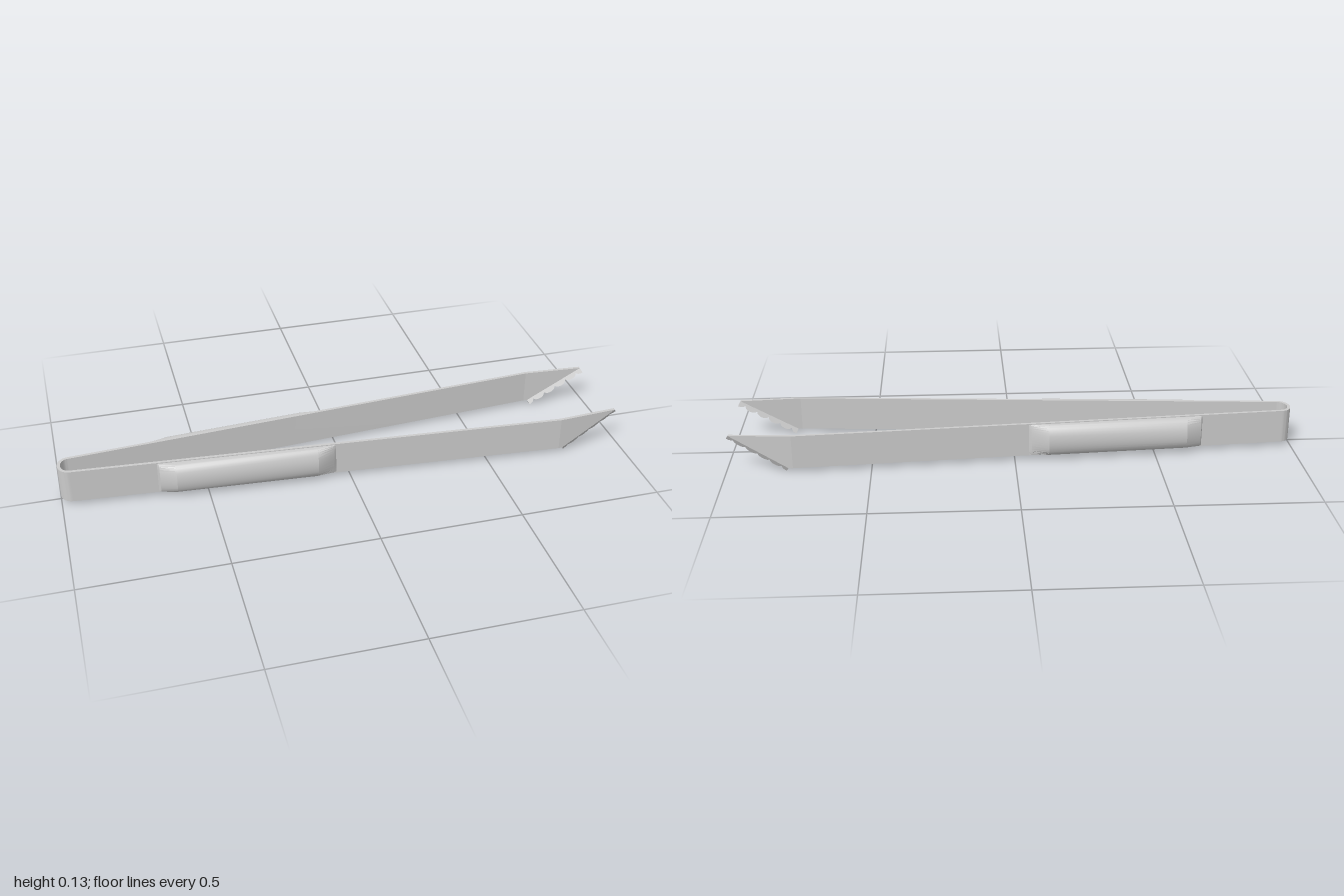
import * as THREE from 'three';
import { toCreasedNormals } from 'three/addons/utils/BufferGeometryUtils.js';

const T = 0.011;                 // sheet thickness
const BOTTOM = 0.013, TOP = 0.133;
const BEND_X = -0.96, KINK_X = 0.77, TIP_X = 0.985;

// outer face of the arm at a given x
function outerZ(x) {
  return x < KINK_X
    ? THREE.MathUtils.mapLinear(x, BEND_X, KINK_X, 0.047, 0.176)
    : THREE.MathUtils.mapLinear(x, KINK_X, 1, 0.176, 0.159);
}

const material = new THREE.MeshStandardMaterial({ color: 0xcccccc });

// mirror across z = 0 and restore the winding
function mirrored(geometry) {
  const g = geometry.clone().scale(1, 1, -1);
  const p = g.attributes.position;
  const a = new THREE.Vector3(), b = new THREE.Vector3();
  for (let i = 0; i < p.count; i += 3) {
    a.fromBufferAttribute(p, i + 1);
    b.fromBufferAttribute(p, i + 2);
    p.setXYZ(i + 1, b.x, b.y, b.z);
    p.setXYZ(i + 2, a.x, a.y, a.z);
  }
  return g;
}

function finish(name, geometry, crease = 0.6) {
  const mesh = new THREE.Mesh(toCreasedNormals(geometry, crease), material);
  mesh.name = name;
  return mesh;
}

// springy strip: both arms and the round bend, extruded upward
function stripGeometry() {
  const side = inset => {
    const pts = [[KINK_X, outerZ(KINK_X) - inset]];
    for (let i = 0; i <= 20; i++) {
      const a = Math.PI / 2 + Math.PI * i / 20;
      pts.push([BEND_X + (0.04 - inset) * Math.cos(a), (0.047 - inset) * Math.sin(a)]);
    }
    pts.push([KINK_X, inset - outerZ(KINK_X)]);
    return pts.map(([x, z]) => new THREE.Vector2(x, z));
  };
  const shape = new THREE.Shape([...side(0), ...side(T).reverse()]);
  return new THREE.ExtrudeGeometry(shape, { depth: TOP - BOTTOM, bevelEnabled: false })
    .rotateX(-Math.PI / 2).translate(0, BOTTOM, 0);
}

// sloping lower edge of the tip, and the direction pointing out of it
const edgeStart = new THREE.Vector2(0.785, BOTTOM);
const edgeEnd = new THREE.Vector2(TIP_X, TOP);
const along = edgeEnd.clone().sub(edgeStart);
const outward = new THREE.Vector2(along.y, -along.x).normalize();

// extrude an x-y outline and lay it on the arm; parts past the edge bend inward
function sheet(points) {
  const g = new THREE.ExtrudeGeometry(new THREE.Shape(points), { depth: T, bevelEnabled: false });
  const p = g.attributes.position;
  for (let i = 0; i < p.count; i++) {
    const past = new THREE.Vector2(p.getX(i), p.getY(i)).sub(edgeStart).dot(outward);
    p.setZ(i, outerZ(p.getX(i)) - T + p.getZ(i) - 0.6 * Math.max(0, past));
  }
  return g;
}

function tipGeometry() {
  return sheet([new THREE.Vector2(KINK_X, BOTTOM), edgeStart, edgeEnd, new THREE.Vector2(KINK_X, TOP)]);
}

// scalloped gripping edge
function teethGeometry() {
  const teeth = 5, steps = 8, points = [edgeStart];
  for (let i = 0; i <= teeth * steps; i++) {
    const t = i / (teeth * steps);
    const depth = 0.007 + 0.010 * Math.sqrt(Math.abs(Math.cos(Math.PI * t * teeth)));
    points.push(edgeStart.clone().addScaledVector(along, t).addScaledVector(outward, depth));
  }
  points.push(edgeEnd);
  return sheet(points);
}

// padded grip: arched cross-sections [x, height] lofted along the arm
function gripGeometry() {
  const stations = [[-0.67, 0], [-0.664, 0.017], [-0.61, 0.042], [-0.12, 0.036], [-0.06, 0.009], [-0.05, 0]];
  const n = 16, positions = [], index = [];
  for (const [x, h] of stations) {
    for (let j = 0; j <= n + 2; j++) {
      const a = Math.PI * THREE.MathUtils.clamp((j - 1) / n, 0, 1);
      const lift = j === 0 || j === n + 2 ? -0.002 : h * (0.25 + 0.75 * Math.sin(a));
      positions.push(x, 0.073 - 0.057 * Math.cos(a), outerZ(x) + lift);
    }
  }
  const row = n + 3;
  for (let i = 0; i < stations.length - 1; i++) {
    for (let j = 0; j < row - 1; j++) {
      const a = i * row + j, b = a + row;
      index.push(a, b, b + 1, a, b + 1, a + 1);
    }
  }
  const g = new THREE.BufferGeometry();
  g.setAttribute('position', new THREE.Float32BufferAttribute(positions, 3));
  g.setIndex(index);
  return g.toNonIndexed();
}

export function createModel() {
  const model = new THREE.Group();
  model.name = 'tongs';
  model.add(finish('springStrip', stripGeometry()));

  const parts = { Tip: tipGeometry(), Teeth: teethGeometry(), Grip: gripGeometry() };
  for (const [name, geometry] of Object.entries(parts)) {
    const crease = name === 'Grip' ? 0.35 : 0.6;
    model.add(finish('front' + name, geometry, crease));
    model.add(finish('back' + name, mirrored(geometry), crease));
  }
  return model;
}
